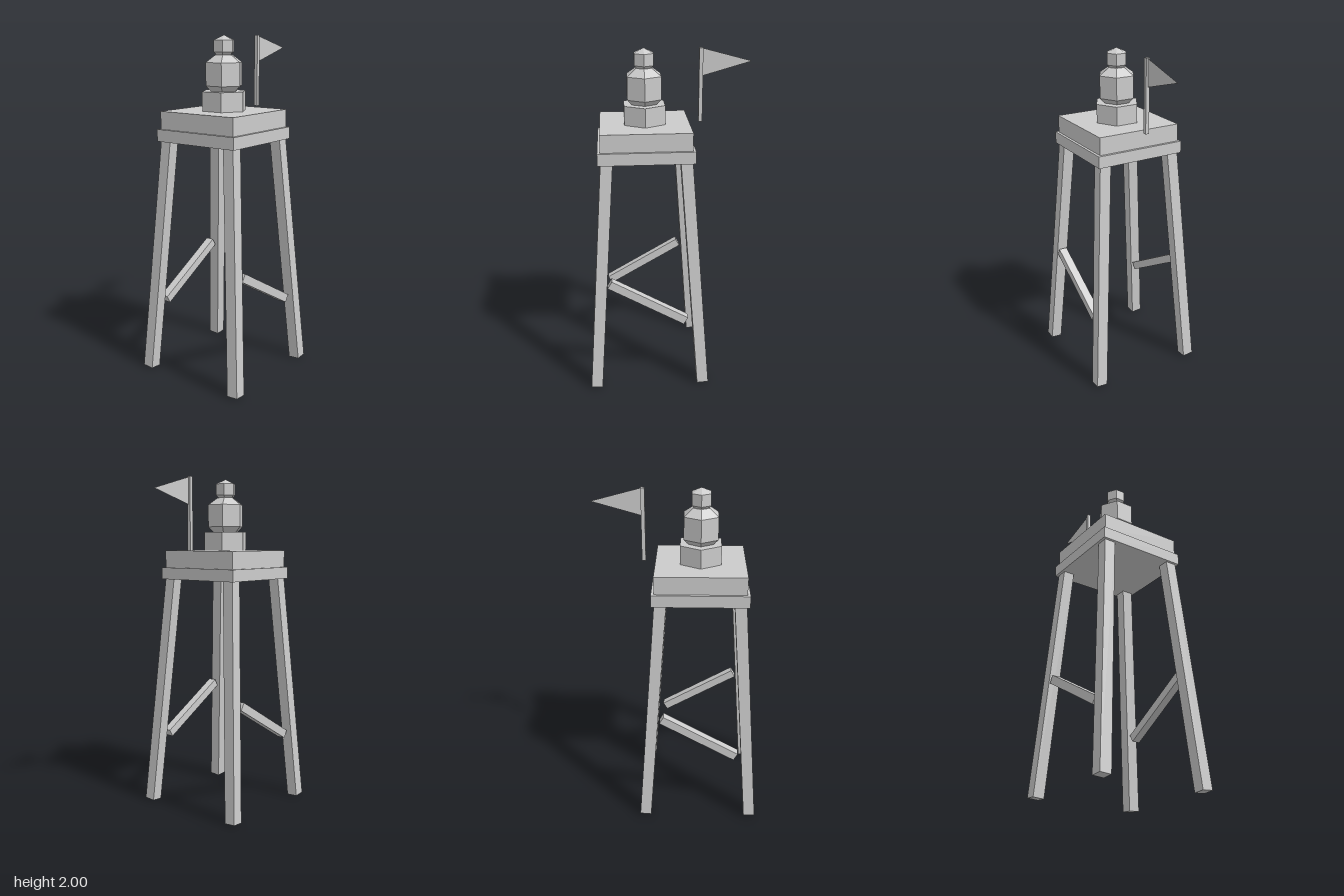
import * as THREE from 'three';

const CX = -0.13; // tower axis

export function createModel() {
  const model = new THREE.Group();
  const grey = new THREE.MeshStandardMaterial({ color: 0xcccccc, flatShading: true });
  const thin = new THREE.MeshStandardMaterial({ color: 0xcccccc, side: THREE.DoubleSide });

  const add = (name, geometry, x, y, z, material = grey) => {
    const mesh = new THREE.Mesh(geometry, material);
    mesh.name = name;
    mesh.position.set(x, y, z);
    model.add(mesh);
    return mesh;
  };
  const box = (name, w, h, d, x, y, z) => add(name, new THREE.BoxGeometry(w, h, d), x, y, z);

  // Four splayed legs, leaning inward to the platform
  const up = new THREE.Vector3(0, 1, 0);
  for (const sx of [-1, 1]) {
    for (const sz of [-1, 1]) {
      const foot = new THREE.Vector3(CX + sx * 0.325, 0.005, sz * 0.325);
      const top = new THREE.Vector3(CX + sx * 0.223, 1.43, sz * 0.223);
      const axis = top.clone().sub(foot);
      const mid = foot.clone().add(top).multiplyScalar(0.5);
      const leg = box('leg', 0.068, axis.length(), 0.068, mid.x, mid.y, mid.z);
      leg.quaternion.setFromUnitVectors(up, axis.normalize());
    }
  }

  // Diagonal braces, front and back, slanting opposite ways
  for (const s of [-1, 1]) {
    const brace = box(s > 0 ? 'frontBrace' : 'backBrace', 0.52, 0.05, 0.05, CX - 0.003, 0.55, s * 0.285);
    brace.rotation.z = -s * Math.PI / 6;
  }

  // Stepped platform
  box('platformRim', 0.55, 0.07, 0.55, CX, 1.437, 0);
  box('platformTop', 0.518, 0.104, 0.518, CX, 1.523, 0);

  // Hexagonal pedestal
  add('pedestal', new THREE.CylinderGeometry(0.135, 0.135, 0.112, 6), CX, 1.63, 0);

  // Faceted body and head, each a six-sided lathe
  const hexLathe = (name, profile) =>
    add(name, new THREE.LatheGeometry(profile.map(([r, y]) => new THREE.Vector2(r, y)), 6), CX, 0, 0);
  hexLathe('body', [[0, 1.685], [0.08, 1.685], [0.112, 1.717], [0.112, 1.848], [0.052, 1.89], [0, 1.89]]);
  hexLathe('head', [[0, 1.89], [0.046, 1.89], [0.062, 1.905], [0.062, 1.972], [0, 2]]);

  // Flagpole and thin triangular pennant
  box('flagPole', 0.022, 0.422, 0.022, 0.195, 1.786, 0);
  const pennant = new THREE.Shape([
    new THREE.Vector2(0.2, 1.995), new THREE.Vector2(0.2, 1.837), new THREE.Vector2(0.487, 1.918),
  ]);
  add('pennant', new THREE.ShapeGeometry(pennant), 0, 0, 0, thin);

  return model;
}
